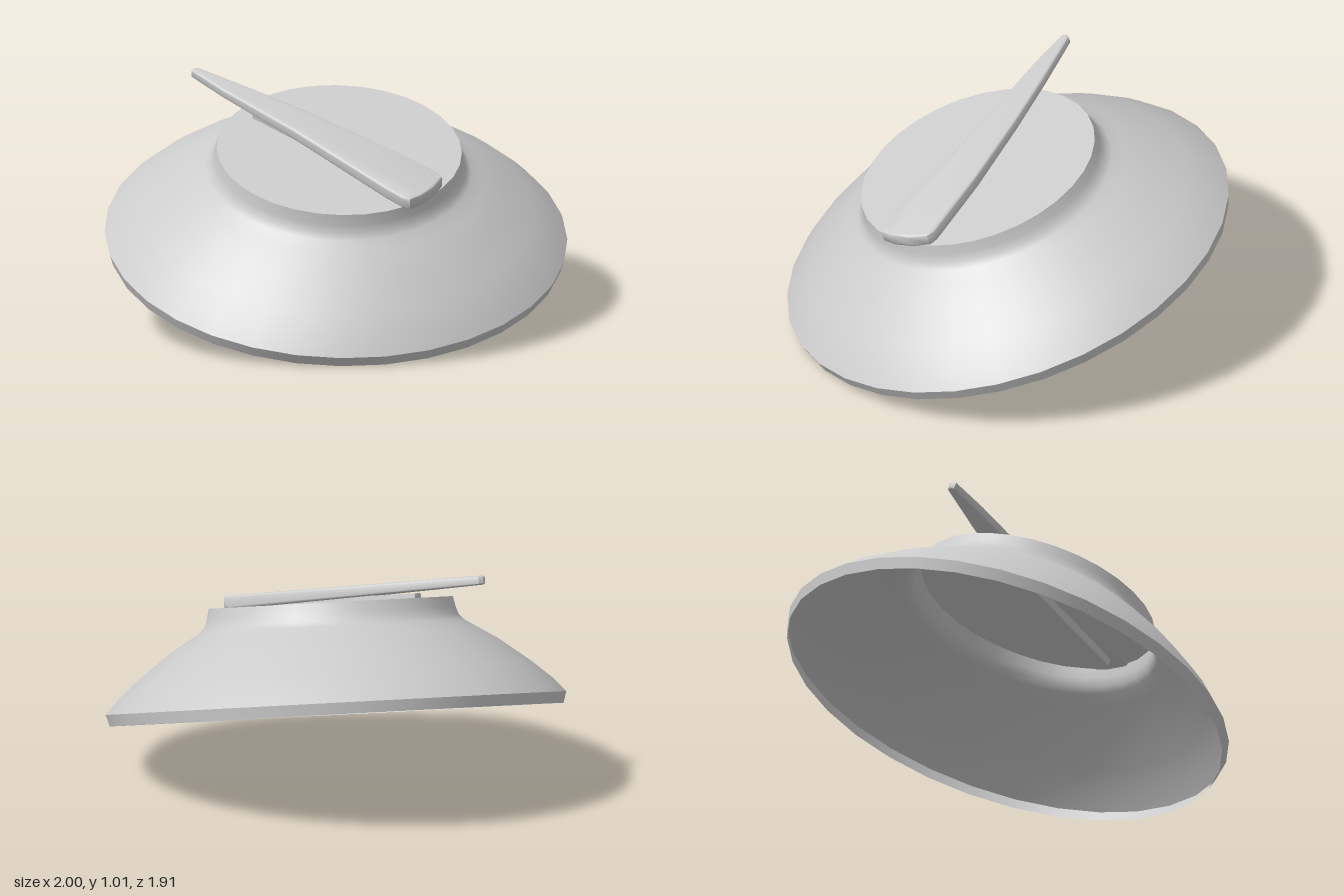
import * as THREE from 'three';
import { toCreasedNormals } from 'three/addons/utils/BufferGeometryUtils.js';

const material = new THREE.MeshStandardMaterial({ color: 0xcccccc });
const openMaterial = new THREE.MeshStandardMaterial({ color: 0xcccccc, side: THREE.DoubleSide });
const TOP = 0.485; // height of the face disc along the dial axis

function part(name, geometry, mat = material) {
  const mesh = new THREE.Mesh(geometry, mat);
  mesh.name = name;
  return mesh;
}

const lathe = (pts) => new THREE.LatheGeometry(pts.map(([r, y]) => new THREE.Vector2(r, y)), 32);

// Flat plan outline given as x, z pairs
const plan = (pts) => new THREE.Shape(pts.map(([x, z]) => new THREE.Vector2(x, -z)));

// Tapered pointer: bevelled slab, thinned and lifted towards its tip
function pointerGeometry() {
  const outline = plan([
    [-0.63, -0.505], [-0.62, -0.525], [-0.60, -0.53], [-0.37, -0.375], [-0.14, -0.21],
    [0.15, 0.014], [0.42, 0.25], [0.438, 0.285], [0.40, 0.365], [0.345, 0.435],
    [0.295, 0.472], [0.26, 0.455], [0.19, 0.385], [-0.2, -0.05], [-0.5, -0.355],
  ].reverse());
  const geometry = new THREE.ExtrudeGeometry(outline, {
    depth: 0.6, bevelThickness: 0.2, bevelSize: 0.014, bevelOffset: -0.014, bevelSegments: 4,
  });
  geometry.translate(0, 0, 0.2);
  geometry.rotateX(-Math.PI / 2);
  const pos = geometry.attributes.position;
  for (let i = 0; i < pos.count; i++) {
    const along = (0.365 - pos.getX(i)) * 0.74 + (0.38 - pos.getZ(i)) * 0.67;
    const s = THREE.MathUtils.clamp(along / 1.33, 0, 1);
    const bottom = THREE.MathUtils.lerp(0.477, 0.527, s);
    const thickness = THREE.MathUtils.lerp(0.06, 0.04, s);
    pos.setY(i, bottom + pos.getY(i) * thickness);
  }
  return toCreasedNormals(geometry, 0.7);
}

// Keel under the pointer that passes through the face disc
function keelGeometry() {
  const outline = plan([[-0.37, -0.25], [-0.34, -0.30], [0.38, 0.27], [0.28, 0.38]]);
  const geometry = new THREE.ExtrudeGeometry(outline, { depth: 0.055, bevelEnabled: false });
  geometry.rotateX(-Math.PI / 2);
  return geometry.translate(0, 0.45, 0);
}

export function createModel() {
  const model = new THREE.Group();
  model.name = 'tiltedDial';

  // Everything is built upright, then leaned forward
  const dial = new THREE.Group();
  dial.name = 'dial';
  dial.position.set(0, 0.304, -0.008);
  dial.rotation.set(THREE.MathUtils.degToRad(17.8), 0, -0.025);
  model.add(dial);

  dial.add(part('rim', lathe([[0.985, 0], [1.0, 0.05]]), openMaterial));
  dial.add(part('skirt', lathe([
    [1.0, 0.05], [0.94, 0.115], [0.86, 0.185], [0.72, 0.292], [0.63, 0.348],
    [0.575, 0.382], [0.552, 0.405], [0.54, 0.44], [0.53, TOP],
  ]), openMaterial));

  const face = new THREE.CircleGeometry(0.53, 32);
  face.rotateX(-Math.PI / 2);
  face.translate(0, TOP, 0);
  dial.add(part('face', face, openMaterial));

  dial.add(part('pointer', pointerGeometry()));
  dial.add(part('pointerKeel', keelGeometry()));
  return model;
}
